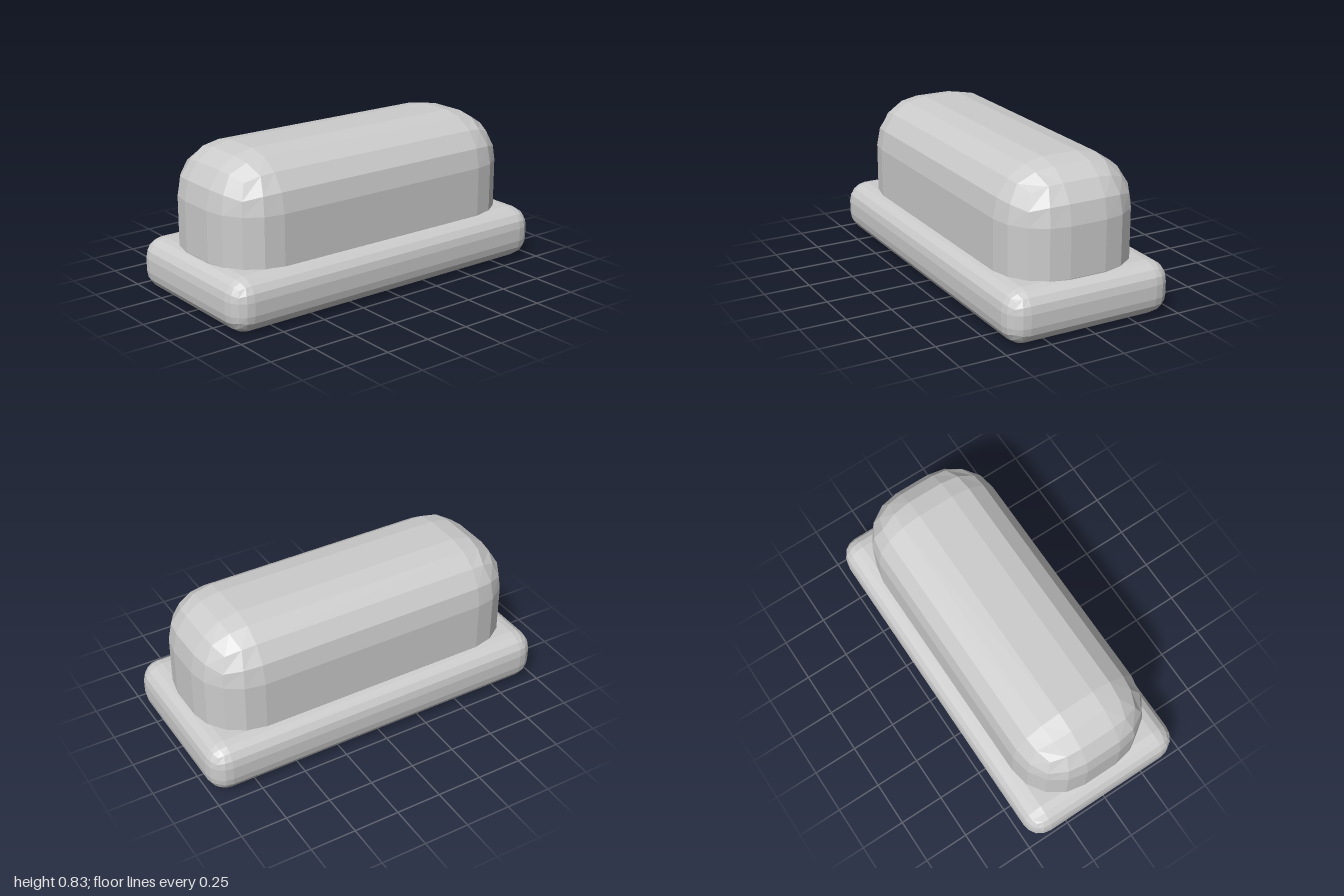
import * as THREE from 'three';

// Box with evenly stepped round edges: each box corner becomes an eighth of a sphere
function bevelledBox(width, height, depth, radius) {
  const steps = 5; // two steps on each side of the flat middle strip
  const geometry = new THREE.BoxGeometry(1, 1, 1, steps, steps, steps);
  const core = new THREE.Vector3(width / 2 - radius, height / 2 - radius, depth / 2 - radius);
  const position = geometry.attributes.position;
  const p = new THREE.Vector3();
  const bend = (c) => Math.sign(c) * Math.tan((Math.abs(c) - 0.1) / 0.4 * Math.PI / 4);
  for (let i = 0; i < position.count; i++) {
    p.fromBufferAttribute(position, i);
    const side = new THREE.Vector3(Math.sign(p.x), Math.sign(p.y), Math.sign(p.z));
    p.set(bend(p.x), bend(p.y), bend(p.z)).normalize().multiplyScalar(radius);
    p.add(side.multiply(core));
    position.setXYZ(i, p.x, p.y, p.z);
  }
  // Separate faces give the faceted look
  const faceted = geometry.toNonIndexed();
  faceted.computeVertexNormals();
  return faceted;
}

export function createModel() {
  const group = new THREE.Group();
  group.name = 'roundedBlockOnPlinth';
  const grey = new THREE.MeshStandardMaterial({ color: 0xcccccc });
  grey.name = 'light grey';

  // Wide, low slab
  const base = new THREE.Mesh(bevelledBox(2, 0.285, 0.94, 0.107), grey);
  base.name = 'base';
  base.position.y = 0.1425;

  // Tall rounded block, its lower rounding sunk inside the base
  const body = new THREE.Mesh(bevelledBox(1.85, 0.825, 0.756, 0.277), grey);
  body.name = 'body';
  body.position.y = 0.4185;

  group.add(base, body);
  return group;
}
